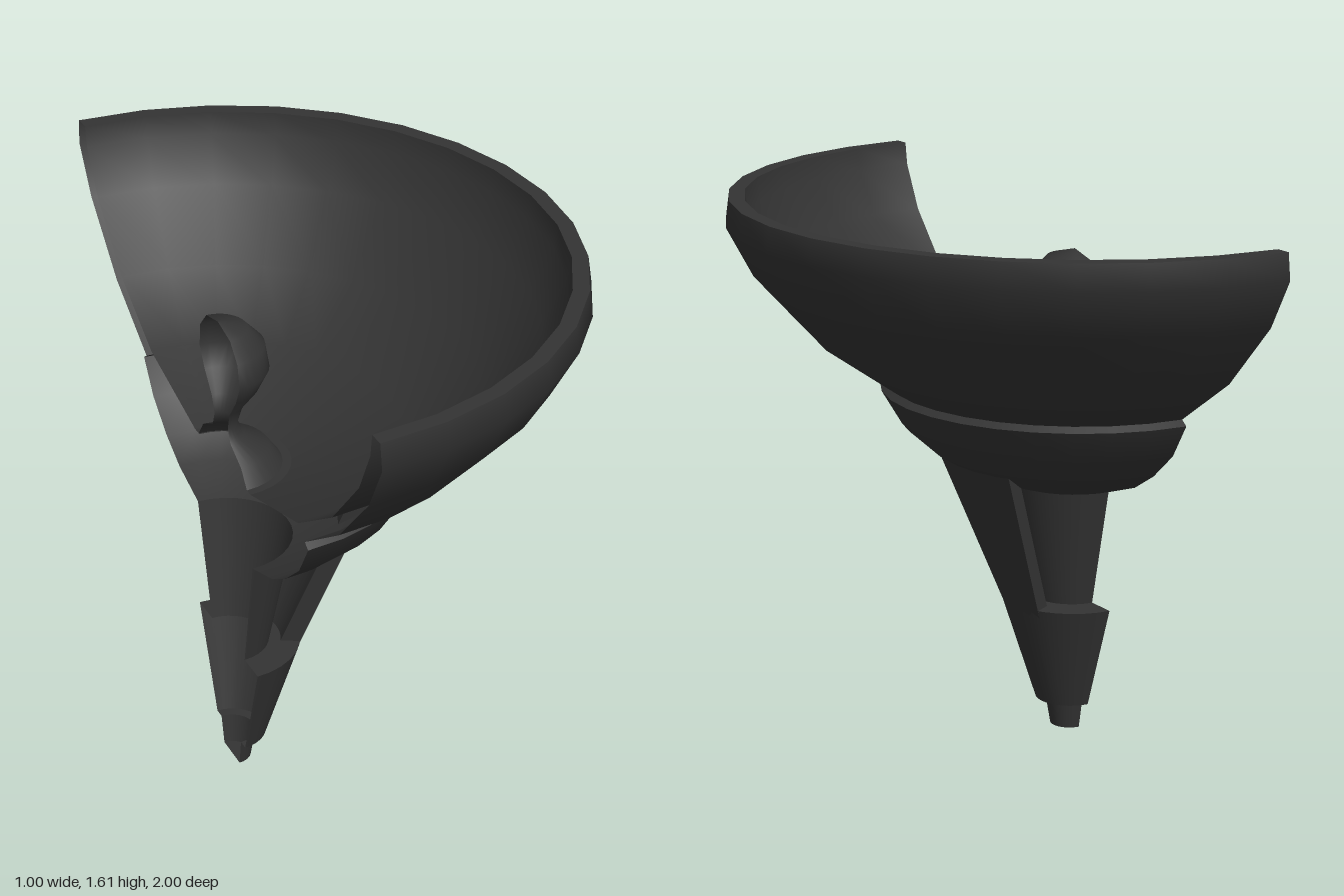
import * as THREE from 'three';

const material = new THREE.MeshStandardMaterial({ color: 0x333333, side: THREE.DoubleSide });

// Half-turn shell around the vertical axis, open on the -x side
function halfLathe(name, profile) {
  const points = profile.map(([r, y]) => new THREE.Vector2(r, y));
  const mesh = new THREE.Mesh(new THREE.LatheGeometry(points, 16, 0, Math.PI), material);
  mesh.name = name;
  return mesh;
}

// Curved wedge bent from a box: follows the collar's cone up to the cup
function makeStrut() {
  const yLow = 0.38, yHigh = 0.9, halfAngle = 0.51;
  const geometry = new THREE.BoxGeometry(1, 1, 1, 1, 1, 6);
  const p = geometry.attributes.position;
  for (let i = 0; i < p.count; i++) {
    const y = THREE.MathUtils.lerp(yLow, yHigh, p.getY(i) + 0.5);
    const outer = 0.205 + (y - 0.4) * 0.457;
    const inner = 0.148 + (y - 0.4) * 0.457;
    const r = p.getX(i) > 0 ? outer : inner;
    const a = p.getZ(i) * 2 * halfAngle;
    // keep the top end tucked inside the cup
    const rTop = p.getY(i) > 0 ? r - 0.02 : r;
    p.setXYZ(i, rTop * Math.cos(a), y, rTop * Math.sin(a));
  }
  geometry.computeVertexNormals();
  const mesh = new THREE.Mesh(geometry, material);
  mesh.name = 'strut';
  return mesh;
}

export function createModel() {
  const model = new THREE.Group();
  model.name = 'halfBowlFixture';
  const body = new THREE.Group();
  body.name = 'body';
  body.position.x = -0.5;
  model.add(body);

  body.add(
    // Bowl: outside, rim and inside
    halfLathe('bowlOutside', [[0.54, 1.055], [0.75, 1.2], [0.925, 1.39], [1.0, 1.53], [0.99, 1.605]]),
    halfLathe('bowlRim', [[0.99, 1.605], [0.945, 1.605]]),
    halfLathe('bowlInside', [[0.945, 1.605], [0.935, 1.54], [0.87, 1.41], [0.71, 1.23], [0.5, 1.09], [0.19, 1.0]]),

    // Knob standing on the bowl floor
    halfLathe('bowlFloor', [[0.19, 1.0], [0.16, 1.0]]),
    halfLathe('knob', [
      [0.165, 1.0], [0.13, 1.05], [0.06, 1.09], [0.045, 1.13], [0.06, 1.18],
      [0.105, 1.24], [0.135, 1.3], [0.125, 1.37], [0.08, 1.42], [0, 1.44],
    ]),

    // Cup holding the bowl
    halfLathe('cup', [[0.19, 0.76], [0.32, 0.805], [0.41, 0.86], [0.5, 0.94], [0.56, 1.04]]),
    halfLathe('cupLip', [[0.56, 1.04], [0.54, 1.055]]),

    // Stem, collar and tip
    halfLathe('stem', [[0.115, 0.405], [0.19, 0.76]]),
    halfLathe('collarTop', [[0.205, 0.405], [0.115, 0.405]]),
    halfLathe('collar', [[0.1, 0.085], [0.205, 0.405]]),
    halfLathe('collarBottom', [[0.07, 0.085], [0.1, 0.085]]),
    halfLathe('tip', [[0.055, 0], [0.07, 0.085]]),
    halfLathe('tipBottom', [[0, 0], [0.055, 0]]),

    makeStrut(),
  );
  return model;
}
